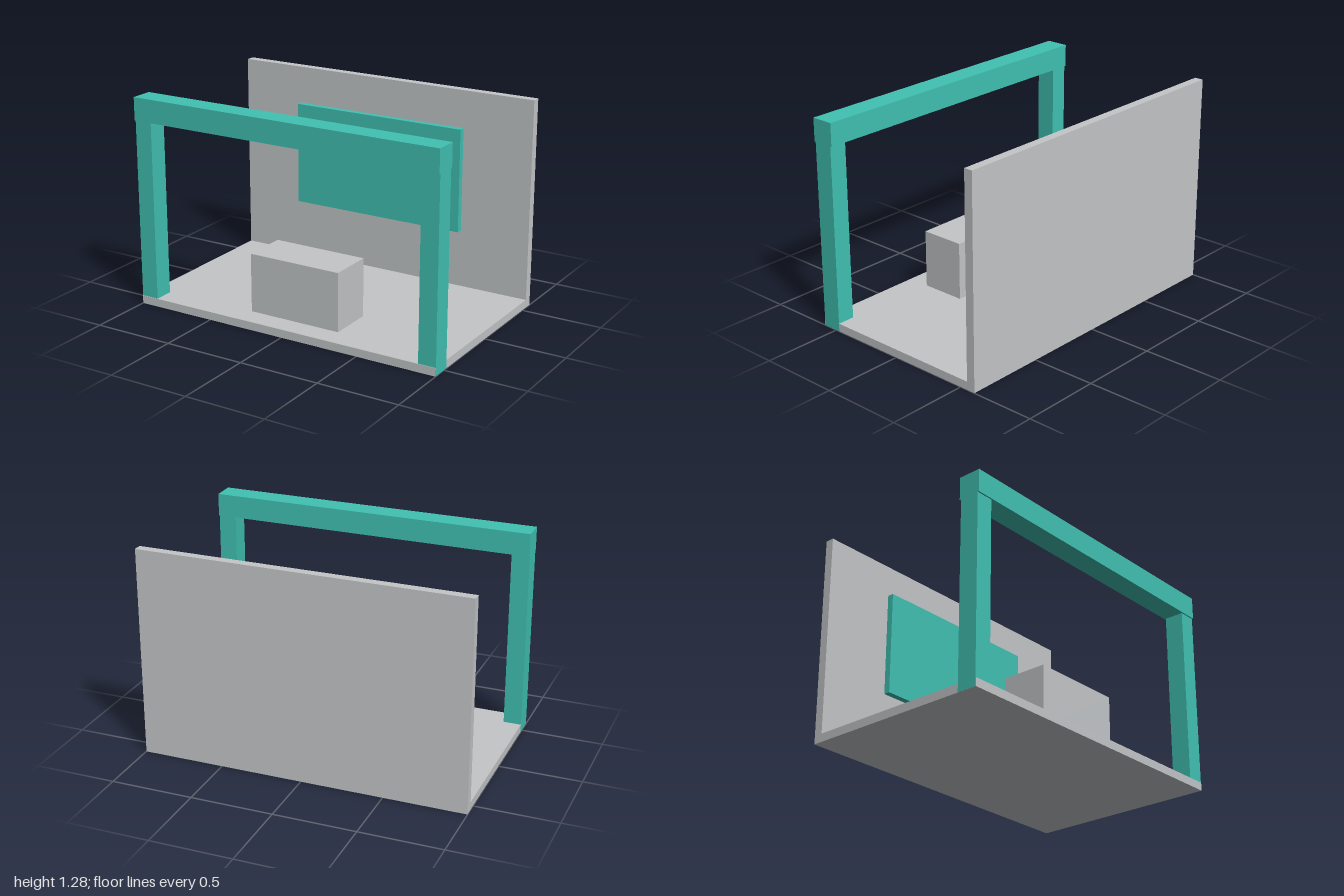
import * as THREE from 'three';

export function createModel() {
  const model = new THREE.Group();
  model.name = 'exhibitionBooth';

  const material = (name, color) => {
    const m = new THREE.MeshStandardMaterial({ color });
    m.name = name;
    return m;
  };
  const grey = material('lightGrey', 0xc3c6c8);
  const teal = material('teal', 0x40c1b2);
  const slate = material('slateBlue', 0x4a6680);

  // Box given by its extents along each axis
  const box = (name, mat, [x0, x1], [y0, y1], [z0, z1]) => {
    const mesh = new THREE.Mesh(new THREE.BoxGeometry(x1 - x0, y1 - y0, z1 - z0), mat);
    mesh.position.set((x0 + x1) / 2, (y0 + y1) / 2, (z0 + z1) / 2);
    mesh.name = name;
    model.add(mesh);
  };

  // Floor and back wall
  box('floor', grey, [-0.999, 0.999], [0, 0.05], [-0.548, 0.597]);
  box('backWall', grey, [-0.999, 0.999], [0, 1.282], [-0.602, -0.548]);

  // Counter standing on the floor
  box('counter', grey, [-0.297, 0.297], [0.05, 0.41], [0.178, 0.458]);

  // Front gateway: two posts sunk through the floor, and a deeper beam on top
  for (const [name, side] of [['leftPost', 1], ['rightPost', -1]]) {
    const xs = [side * 0.89, side].sort((a, b) => a - b);
    box(name, teal, xs, [0.001, 1.143], [0.473, 0.594]);
  }
  box('topBeam', teal, [-1, 1], [1.143, 1.283], [0.463, 0.603]);

  // Display panel on its smaller backing plate, floating before the wall
  box('displayPanel', teal, [-0.57, 0.57], [0.422, 1.062], [-0.511, -0.472]);
  box('displayBacking', slate, [-0.55, 0.55], [0.457, 1.028], [-0.532, -0.511]);

  return model;
}
